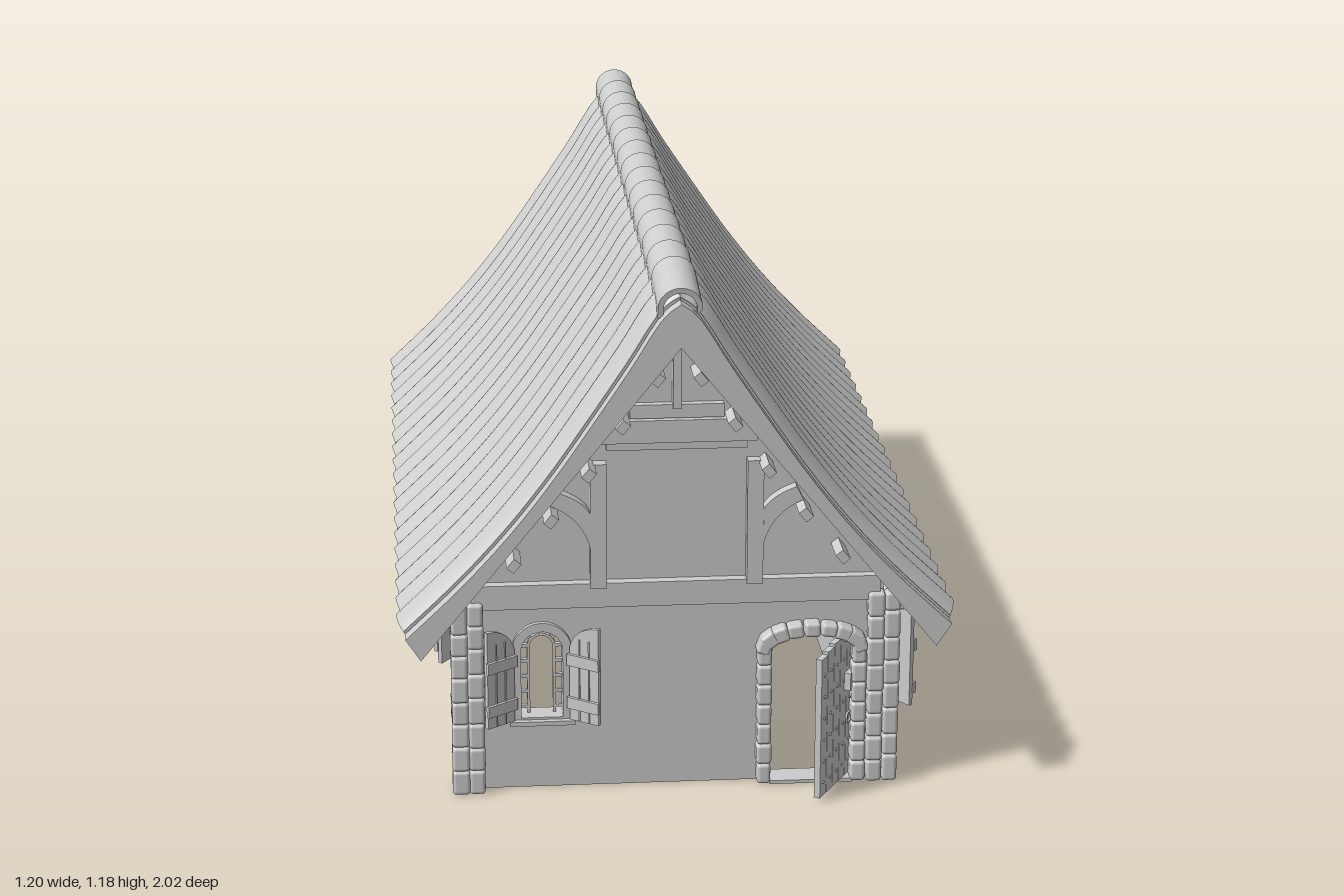
import * as THREE from 'three';
import { RoundedBoxGeometry } from 'three/addons/geometries/RoundedBoxGeometry.js';

const plaster = new THREE.MeshStandardMaterial({ color: 0xcccccc, side: THREE.DoubleSide });
plaster.name = 'light grey';

let seed = 7;
const rand = () => ((seed = (seed * 16807) % 2147483647) / 2147483647) - 0.5;

const FRONT = 0.888, BACK = 0.872, SIDE = 0.45, ROOF_END = 0.965;

function add(parent, name, geometry, x = 0, y = 0, z = 0) {
  const m = new THREE.Mesh(geometry, plaster);
  m.name = name;
  m.position.set(x, y, z);
  parent.add(m);
  return m;
}
const box = (p, name, w, h, d, x, y, z) => add(p, name, new THREE.BoxGeometry(w, h, d), x, y, z);
const group = (parent, name) => {
  const g = new THREE.Group();
  g.name = name;
  parent.add(g);
  return g;
};
const extrude = (shape, depth) =>
  new THREE.ExtrudeGeometry(shape, { depth, bevelEnabled: false, curveSegments: 12 });
const poly = (pts) => new THREE.Shape(pts.map((p) => new THREE.Vector2(p[0], p[1])));

// Round-headed outline, x centred on u, from bottom to top
function arch(u, w, bottom, top, Type = THREE.Shape) {
  const r = w / 2, s = new Type();
  s.moveTo(u - r, bottom);
  s.lineTo(u + r, bottom);
  s.lineTo(u + r, top - r);
  s.absarc(u, top - r, r, 0, Math.PI, false);
  s.lineTo(u - r, bottom);
  return s;
}
function archRing(w, bottom, top, t) {
  const s = arch(0, w, bottom, top);
  s.holes.push(arch(0, w - 2 * t, bottom + t * 0.6, top - t, THREE.Path));
  return s;
}
const BOTTOM = 0.16, TOP = 0.387;

// Shutter leaf: hinge at x = 0, highest at its free edge
function shutter(parent, side, w) {
  const leaf = group(parent, 'openShutter');
  const width = w / 2 + 0.008;
  const s = new THREE.Shape();
  s.moveTo(0, BOTTOM + 0.004);
  s.lineTo(width, BOTTOM + 0.004);
  s.lineTo(width, TOP);
  s.quadraticCurveTo(width * 0.2, TOP - 0.004, 0, TOP - w * 0.42);
  add(leaf, 'shutterBoard', extrude(s, 0.01));
  for (const y of [0.205, 0.305]) box(leaf, 'shutterBatten', width + 0.006, 0.026, 0.008, width / 2, y, 0.013);
  for (const f of [0.35, 0.68]) box(leaf, 'plankSeam', 0.003, 0.19, 0.003, width * f, 0.26, 0.011);
  leaf.position.set(side * w / 2, 0, 0.008);
  leaf.scale.x = side;
  leaf.rotation.y = -side * 0.62;
}

function openWindow(wall, u, w) {
  const g = group(wall, 'openWindow');
  g.position.x = u;
  add(g, 'windowFrame', extrude(archRing(w, BOTTOM - 0.004, TOP, 0.02), 0.055), 0, 0, -0.044);
  const outer = w / 2 - 0.02, inner = outer * 0.55, spring = TOP - w / 2;
  add(g, 'innerCasement', extrude(archRing(inner * 2 + 0.012, BOTTOM, spring + inner + 0.006, 0.006), 0.012), 0, 0, -0.03);
  for (const s of [-1, 1]) {
    for (let i = 0; i < 5; i++)
      box(g, 'glazingBar', outer - inner, 0.007, 0.01, s * (outer + inner) / 2, BOTTOM + 0.022 + i * (spring - BOTTOM - 0.02) / 4, -0.024);
    shutter(g, s, w);
  }
  for (const a of [0.7, Math.PI / 2, Math.PI - 0.7]) {
    const r = (outer + inner) / 2;
    box(g, 'archBar', outer - inner, 0.006, 0.01, r * Math.cos(a), spring + r * Math.sin(a), -0.024).rotation.z = a;
  }
  box(g, 'sill', w + 0.012, 0.01, 0.035, 0, BOTTOM - 0.002, 0.006);
}

function closedWindow(wall, u, w) {
  const g = group(wall, 'closedWindow');
  g.position.x = u;
  add(g, 'windowFrame', extrude(archRing(w, BOTTOM - 0.004, TOP, 0.016), 0.052), 0, 0, -0.042);
  const n = 6, pw = (w - 0.03) / n, r = w / 2 - 0.012;
  for (let i = 0; i < n; i++) {
    const x = (i - (n - 1) / 2) * pw;
    const top = TOP - w / 2 + Math.sqrt(r * r - x * x);
    box(g, 'shutterPlank', pw - 0.003, top - BOTTOM, 0.012, x, (top + BOTTOM) / 2, 0.004 + (i % 2) * 0.003);
  }
  box(g, 'shutterBacking', w - 0.03, 0.15, 0.004, 0, 0.24, -0.006);
  box(g, 'sill', w + 0.01, 0.012, 0.035, 0, BOTTOM - 0.002, 0.006);
}

// Wall in its own frame: x along the wall, y up, z outward
function makeWall(house, name, outline, windows, door) {
  const wall = group(house, name);
  const s = poly(outline);
  for (const [u, w] of windows) s.holes.push(arch(u, w - 0.01, BOTTOM, TOP - 0.005, THREE.Path));
  if (door) s.holes.push(door);
  add(wall, 'wallPanel', extrude(s, 0.035), 0, 0, -0.035);
  for (const [u, w, closed] of windows) (closed ? closedWindow : openWindow)(wall, u, w);
  return wall;
}

// Timber framing of a gable, reaching out to the end of the roof
function gableTimbers(wall, reach) {
  const g = group(wall, 'gableTimbers');
  box(g, 'tieBeam', 0.88, 0.055, 0.03, 0, 0.4525, 0.008);
  box(g, 'collarBeam', 0.34, 0.05, 0.03, 0, 0.82, 0.012);
  box(g, 'panelHead', 0.3, 0.018, 0.02, 0, 0.786, 0.008);
  box(g, 'upperTie', 0.2, 0.03, 0.02, 0, 0.862, 0.008);
  box(g, 'kingPost', 0.018, 0.17, 0.03, 0, 0.955, 0.012);
  for (const s of [-1, 1]) {
    box(g, 'gablePost', 0.035, 0.28, 0.03, s * 0.1675, 0.61, 0.012);
    const brace = new THREE.Shape();
    brace.moveTo(0.185, 0.56);
    brace.quadraticCurveTo(0.2, 0.63, 0.27, 0.66);
    brace.lineTo(0.255, 0.69);
    brace.quadraticCurveTo(0.2, 0.67, 0.185, 0.64);
    add(g, 'curvedBrace', extrude(brace, 0.03), 0, 0, -0.002).scale.x = s;
    for (const [x, y] of [[0.35, 0.545], [0.27, 0.643], [0.19, 0.743], [0.118, 0.848], [0.045, 0.95]])
      box(g, 'purlinEnd', 0.026, 0.02, reach, s * x, y, reach / 2).rotation.z = -s * 0.89;
  }
}

function quoins(house, sx, sz, z) {
  const g = group(house, 'cornerStones');
  for (const [dx, dz] of [[1, 1], [-1, 1], [1, -1]]) {
    let y = 0;
    for (let i = 0; i < 8; i++) {
      const h = i === 7 ? 0.443 - y : 0.055 + rand() * 0.016;
      const stone = new RoundedBoxGeometry(0.036 + rand() * 0.005, h, 0.036 + rand() * 0.005, 2, 0.008);
      add(g, 'cornerStone', stone, sx * (SIDE + dx * 0.0175), y + h / 2, sz * (z + dz * 0.0175)).rotation.y = rand() * 0.08;
      y += h;
    }
  }
}

function doorway(wall) {
  const g = group(wall, 'doorway'), cx = 0.295;
  for (const s of [-1, 1])
    for (let i = 0; i < 7; i++)
      add(g, 'jambStone', new RoundedBoxGeometry(0.032 + rand() * 0.005, 0.046, 0.06, 2, 0.008), cx + s * 0.103, 0.023 + i * 0.0465, 0);
  for (let i = 0; i < 9; i++) {
    const a = 0.15 + (i / 8) * (Math.PI - 0.3);
    add(g, 'archStone', new RoundedBoxGeometry(0.035, 0.032 + rand() * 0.006, 0.06, 2, 0.008),
      cx + 0.105 * Math.cos(a), 0.315 + 0.044 * Math.sin(a), 0.002).rotation.z = Math.atan2(0.044 * Math.cos(a), 0.105 * Math.sin(a)) * -1;
  }
  box(g, 'threshold', 0.18, 0.008, 0.06, cx, 0.004, 0);
  // Plank door standing open inward
  const door = group(g, 'door');
  for (let i = 0; i < 5; i++) {
    const h = 0.335 - Math.abs(i - 2) * 0.006;
    box(door, 'doorPlank', 0.032, h, 0.014, -0.017 - i * 0.034, 0.008 + h / 2, 0);
    for (let k = 0; k < 6; k++) {
      const rivet = add(door, 'rivet', new THREE.SphereGeometry(0.004, 6, 4), -0.017 - i * 0.034, 0.04 + k * 0.05, 0.008);
      rivet.scale.z = 0.6;
    }
  }
  box(door, 'lockPlate', 0.03, 0.04, 0.02, -0.03, 0.235, 0.012);
  add(door, 'doorRing', new THREE.TorusGeometry(0.012, 0.003, 6, 14), -0.035, 0.15, 0.014);
  door.position.set(0.383, 0, -0.02);
  door.rotation.y = 1.03;
}

// Slope profile from ridge to eave, sagging inward
const slope = new THREE.CatmullRomCurve3([[0, 1.145], [0.045, 1.115], [0.12, 1.0], [0.2, 0.88], [0.29, 0.75], [0.38, 0.635], [0.48, 0.525], [0.597, 0.412]]
  .map(([x, y]) => new THREE.Vector3(x, y, 0)));

function gableSection(inset) {
  const side = slope.getPoints(24).map((p) => [Math.max(0, p.x - inset * 0.75), p.y - inset * 0.65]);
  side[0] = [0, 1.14 - inset * 2];
  const half = [...side, [0.55, 0.35]];
  const left = half.slice(1).reverse().map(([x, y]) => [-x, y]);
  return poly([...half, [0, 1.03], ...left]);
}

function roof(house) {
  const g = group(house, 'roof');
  add(g, 'roofBody', extrude(gableSection(0.016), ROOF_END * 2 - 0.01), 0, 0, -ROOF_END + 0.005);
  for (const s of [-1, 1]) {
    add(g, 'bargeBoard', extrude(gableSection(0.02), 0.035), 0, 0, s > 0 ? ROOF_END : -1);
    // Rippled tile covering, rolled down at both gable ends
    const cover = new THREE.PlaneGeometry(1, 1, 200, 28);
    const pos = cover.attributes.position;
    for (let i = 0; i < pos.count; i++) {
      const z = pos.getX(i) * 2 * ROOF_END, t = 0.5 - pos.getY(i);
      const p = slope.getPoint(t), d = slope.getTangent(t);
      const edge = Math.max(0, (Math.abs(z) - 0.93) / 0.035);
      const off = 0.005 * Math.cos((z * Math.PI * 2) / 0.1) - 0.022 * edge * edge;
      pos.setXYZ(i, s * Math.max(0, p.x - d.y * off), p.y + d.x * off, -s * z * -1);
    }
    if (s > 0) cover.index.array.reverse();
    cover.computeVertexNormals();
    add(g, 'tileCovering', cover);
    box(g, 'eaveBoard', 0.02, 0.02, ROOF_END * 2, s * 0.555, 0.366, 0).rotation.z = -s * 0.85;
  }
  // Overlapping ridge caps, each lifted at its rear end
  const cap = new THREE.Shape();
  cap.moveTo(0.047, -0.02);
  cap.absarc(0, 0, 0.047, 0, Math.PI, false);
  cap.lineTo(-0.047, -0.02);
  cap.lineTo(-0.035, -0.02);
  cap.absarc(0, 0, 0.035, Math.PI, 0, true);
  cap.lineTo(0.035, -0.02);
  const capGeometry = extrude(cap, 0.165);
  for (let i = 0; i < 15; i++) add(g, 'ridgeCap', capGeometry, 0, 1.13, 0.812 - i * 0.1273).rotation.x = 0.14;
}

export function createModel() {
  const house = new THREE.Group();
  house.name = 'cottage';

  const gable = [[-SIDE, 0], [SIDE, 0], [SIDE, 0.48], [0, 1.04], [-SIDE, 0.48]];
  const doorHole = new THREE.Path();
  doorHole.moveTo(0.205, 0.002);
  doorHole.lineTo(0.385, 0.002);
  doorHole.lineTo(0.385, 0.315);
  doorHole.absellipse(0.295, 0.315, 0.09, 0.036, 0, Math.PI, false);
  doorHole.lineTo(0.205, 0.002);

  const front = makeWall(house, 'frontWall', gable, [[-0.29, 0.13]], doorHole);
  front.position.z = FRONT;
  gableTimbers(front, ROOF_END - FRONT);
  doorway(front);

  const back = makeWall(house, 'backWall', gable, [[-0.29, 0.15, true], [0.29, 0.13]]);
  back.position.z = -BACK;
  back.rotation.y = Math.PI;
  gableTimbers(back, ROOF_END - BACK);

  const long = (a, b) => [[a, 0], [b, 0], [b, 0.48], [a, 0.48]];
  const left = makeWall(house, 'leftWall', long(-FRONT, BACK),
    [[-0.73, 0.17], [-0.44, 0.19, true], [0.145, 0.19, true], [0.43, 0.17], [0.73, 0.13]]);
  left.position.x = SIDE;
  left.rotation.y = Math.PI / 2;

  const right = makeWall(house, 'rightWall', long(-BACK, FRONT), [[-0.73, 0.13], [0.45, 0.13]]);
  right.position.x = -SIDE;
  right.rotation.y = -Math.PI / 2;

  for (const s of [-1, 1]) {
    box(house, 'wallPlate', 0.03, 0.03, FRONT + BACK - 0.07, s * (SIDE - 0.045), 0.44, (FRONT - BACK) / 2);
    quoins(house, s, 1, FRONT);
    quoins(house, s, -1, BACK);
  }
  roof(house);
  return house;
}
